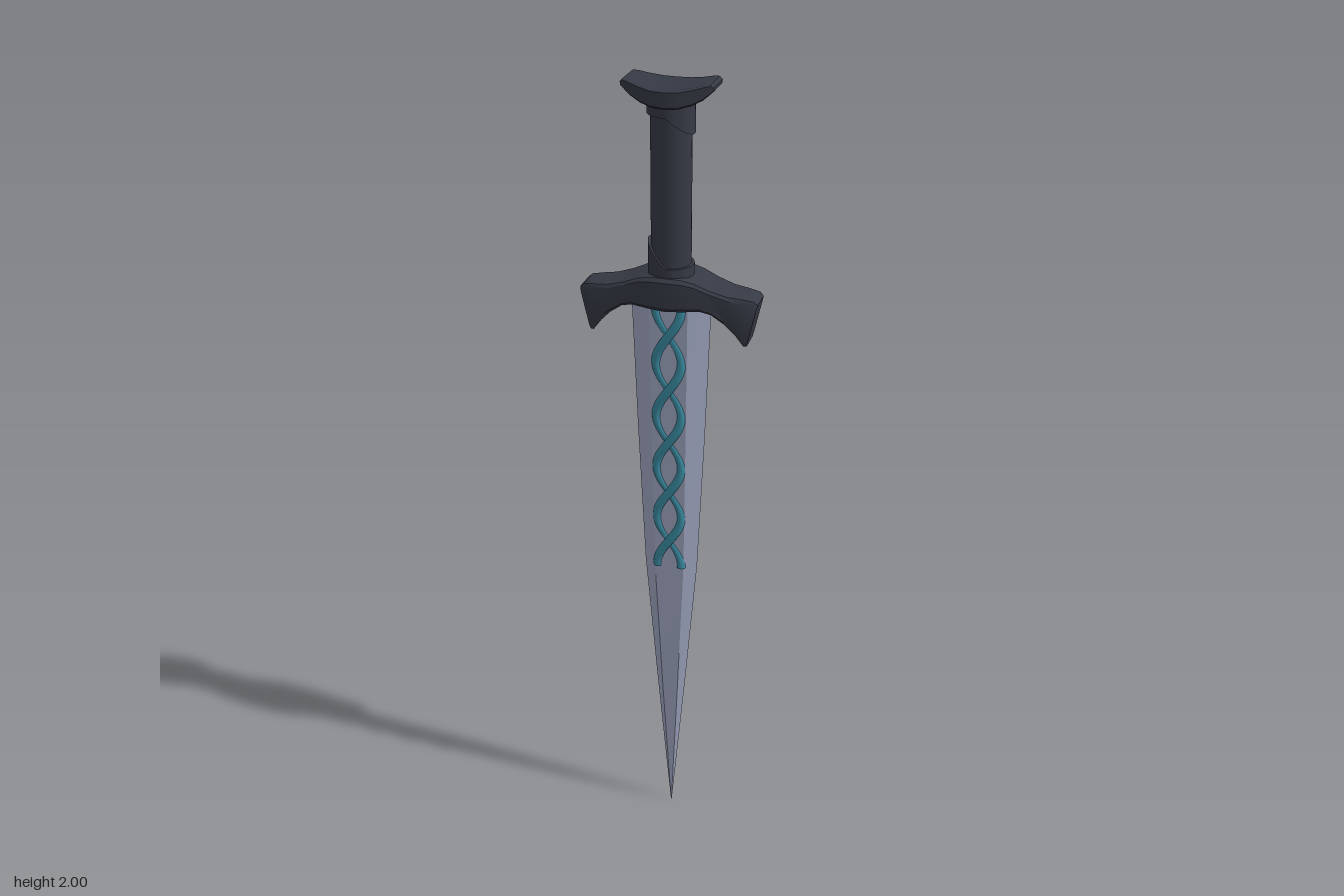
import * as THREE from 'three';
import { toCreasedNormals } from 'three/addons/utils/BufferGeometryUtils.js';

const darkMat = new THREE.MeshStandardMaterial({ color: 0x363a45 });
const steelMat = new THREE.MeshStandardMaterial({ color: 0xa2a9c4 });
const tealMat = new THREE.MeshStandardMaterial({ color: 0x3a8ca2 });

// Skins a list of equal-length rings (counter-clockwise about the travel direction), capping both ends.
function loft(rings, crease) {
  const n = rings[0].length;
  const pos = rings.flat(2);
  const idx = [];
  for (let i = 0; i < rings.length - 1; i++) {
    for (let j = 0; j < n; j++) {
      const k = (j + 1) % n;
      const a = i * n + j, b = i * n + k, c = a + n, d = b + n;
      idx.push(a, b, d, a, d, c);
    }
  }
  const last = (rings.length - 1) * n;
  for (let j = 1; j < n - 1; j++) {
    idx.push(0, j + 1, j, last, last + j, last + j + 1);
  }
  const g = new THREE.BufferGeometry();
  g.setAttribute('position', new THREE.Float32BufferAttribute(pos, 3));
  g.setIndex(idx);
  return toCreasedNormals(g, crease);
}

// Mirrored bar along x: half stations are [topX, topY, bottomX, bottomY, halfDepth], from centre to end.
const barSection = [[1, -0.88], [1, 0.88], [0.78, 1], [-0.78, 1], [-1, 0.88], [-1, -0.88], [-0.78, -1], [0.78, -1]];
function mirroredBar(half) {
  const flipped = half.slice(1).reverse().map(([tx, ty, bx, by, d]) => [-tx, ty, -bx, by, d]);
  const rings = [...flipped, ...half].map(([tx, ty, bx, by, d]) =>
    barSection.map(([h, v]) => {
      const t = (h + 1) / 2;
      return [bx + (tx - bx) * t, by + (ty - by) * t, v * d];
    }));
  return loft(rings, 0.6);
}

// Ring around the grip whose lower (dir = -1) or upper (dir = 1) edge is drawn out to a point on one side.
function collar(radius, y0, y1, reach, dir) {
  const g = new THREE.CylinderGeometry(radius, radius, y1 - y0, 32);
  const p = g.attributes.position;
  for (let i = 0; i < p.count; i++) {
    const side = Math.max(0, -dir * p.getX(i) / radius);
    if (p.getY(i) * dir > 0) p.setY(i, p.getY(i) + dir * reach * side);
  }
  g.translate(0, (y0 + y1) / 2, 0);
  return toCreasedNormals(g, 0.7);
}

// Blade stations: [y, half width, half width of the flat, half thickness]
const bladeStations = [
  [0, 0.001, 0.0004, 0.001],
  [0.4, 0.036, 0.02, 0.012],
  [0.78, 0.067, 0.037, 0.02],
  [1.15, 0.083, 0.042, 0.024],
  [1.52, 0.096, 0.046, 0.027],
];
function bladeThickness(y) {
  const i = Math.max(1, bladeStations.findIndex((s) => s[0] >= y));
  const a = bladeStations[i - 1], b = bladeStations[i];
  return THREE.MathUtils.mapLinear(y, a[0], b[0], a[3], b[3]);
}

// One strand of the braid laid on the front of the blade
function strand(sign) {
  const pts = [];
  const y0 = 0.78, y1 = 1.51, pitch = 0.139, steps = 64;
  for (let i = 0; i <= steps; i++) {
    const y = y0 + (y1 - y0) * i / steps;
    const phase = Math.PI * (y - 0.855) / pitch;
    pts.push(new THREE.Vector3(
      sign * 0.031 * Math.sin(phase),
      y,
      bladeThickness(y) - 0.004 + sign * 0.004 * Math.cos(phase)));
  }
  return new THREE.CatmullRomCurve3(pts);
}

export function createModel() {
  const group = new THREE.Group();
  const add = (name, geometry, material) => {
    const mesh = new THREE.Mesh(geometry, material);
    mesh.name = name;
    group.add(mesh);
    return mesh;
  };

  // Six-sided tapering blade
  add('blade', loft(bladeStations.map(([y, w, f, t]) => [
    [-f, y, t], [f, y, t], [w, y, 0], [f, y, -t], [-f, y, -t], [-w, y, 0],
  ]), 0.15), steelMat);

  // Braid on the front face, with closed strand ends
  for (const [name, sign] of [['leftStrand', 1], ['rightStrand', -1]]) {
    const curve = strand(sign);
    add(name, new THREE.TubeGeometry(curve, 96, 0.011, 10), tealMat);
    const end = add(name + 'End', new THREE.CircleGeometry(0.011, 10), tealMat);
    end.position.copy(curve.getPoint(0));
    end.lookAt(end.position.clone().sub(curve.getTangent(0)));
  }

  // Crossguard with drooping ends
  add('crossguard', mirroredBar([
    [0, 1.565, 0, 1.485, 0.064],
    [0.035, 1.564, 0.04, 1.488, 0.062],
    [0.065, 1.557, 0.08, 1.492, 0.057],
    [0.1, 1.542, 0.105, 1.485, 0.052],
    [0.14, 1.53, 0.135, 1.463, 0.046],
    [0.175, 1.526, 0.16, 1.437, 0.041],
    [0.2, 1.522, 0.178, 1.412, 0.037],
    [0.209, 1.514, 0.186, 1.411, 0.034],
  ]), darkMat);

  // Grip and its pointed collars
  const grip = new THREE.CylinderGeometry(0.046, 0.046, 0.42, 32);
  grip.translate(0, 1.755, 0);
  add('grip', grip, darkMat);
  add('lowerCollar', collar(0.053, 1.55, 1.585, 0.055, 1), darkMat);
  add('upperCollar', collar(0.053, 1.925, 1.962, 0.042, -1), darkMat);

  // Dished pommel
  add('pommel', mirroredBar([
    [0, 1.987, 0, 1.945, 0.063],
    [0.03, 1.988, 0.03, 1.947, 0.061],
    [0.06, 1.993, 0.056, 1.954, 0.053],
    [0.085, 1.999, 0.08, 1.966, 0.046],
    [0.097, 2.0, 0.094, 1.978, 0.042],
    [0.103, 1.994, 0.102, 1.985, 0.038],
  ]), darkMat);

  return group;
}
